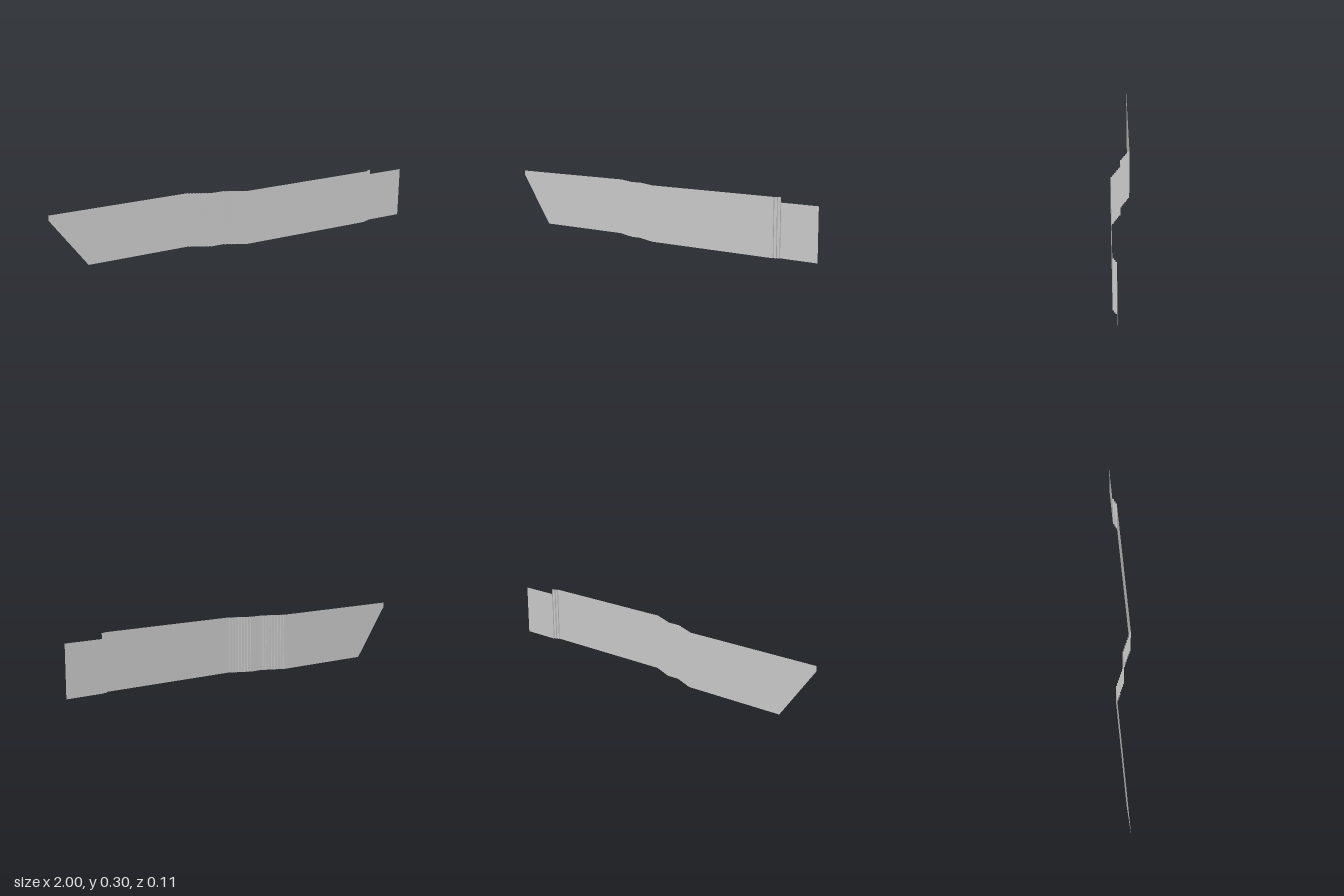
import * as THREE from 'three';

const H = 0.297;       // full height
const LOW = 0.27;      // height of the lowered end tab
const RISE = 0.0066;   // depth of one small step
const RUN = 0.0146;    // width of one small step
const material = new THREE.MeshStandardMaterial({ color: 0xcccccc, side: THREE.DoubleSide });

function add(parent, name, geometry) {
  const mesh = new THREE.Mesh(geometry, material);
  mesh.name = name;
  parent.add(mesh);
}

// Flat upright sheet facing +z, from x0 to x1
function addPanel(parent, name, x0, x1, z, h = H) {
  add(parent, name, new THREE.PlaneGeometry(x1 - x0, h).translate((x0 + x1) / 2, h / 2, z));
}

// Run of small steps: count risers across the depth, joined by narrow treads
function addSteps(parent, name, x0, z0, count, dir) {
  const group = new THREE.Group();
  group.name = name;
  for (let i = 0; i < count; i++) {
    const x = x0 + i * RUN;
    const z = z0 + i * RISE * dir;
    const riser = new THREE.PlaneGeometry(RISE, H).rotateY(-dir * Math.PI / 2);
    add(group, 'riser', riser.translate(x, H / 2, z + RISE * dir / 2));
    if (i < count - 1) addPanel(group, 'tread', x, x + RUN, z + RISE * dir);
  }
  parent.add(group);
}

export function createModel() {
  const model = new THREE.Group();
  model.name = 'steppedPanel';
  const back = -8 * RISE;
  const front = 8 * RISE;
  const bend = 7 * RUN;
  const bendA = -0.259;
  const bendB = -0.077;
  const endStep = 0.797 - 2 * RUN;

  // Rear panel with a slanted lower corner
  const outline = new THREE.Shape([
    [-0.81, 0], [bendA, 0], [bendA, H], [-1, H], [-1, 0.27],
  ].map(([x, y]) => new THREE.Vector2(x, y)));
  add(model, 'slantedPanel', new THREE.ShapeGeometry(outline).translate(0, 0, back));

  // Two stepped bends around the short middle panel
  addSteps(model, 'rearBend', bendA, back, 8, 1);
  addPanel(model, 'middlePanel', bendA + bend, bendB, 0);
  addSteps(model, 'frontBend', bendB, 0, 8, 1);

  // Front panel, small set-back and lowered end tab
  addPanel(model, 'frontPanel', bendB + bend, endStep, front);
  addSteps(model, 'endSetBack', endStep, front, 3, -1);
  addPanel(model, 'endTab', 0.797, 1, front - 3 * RISE, LOW);
  return model;
}
